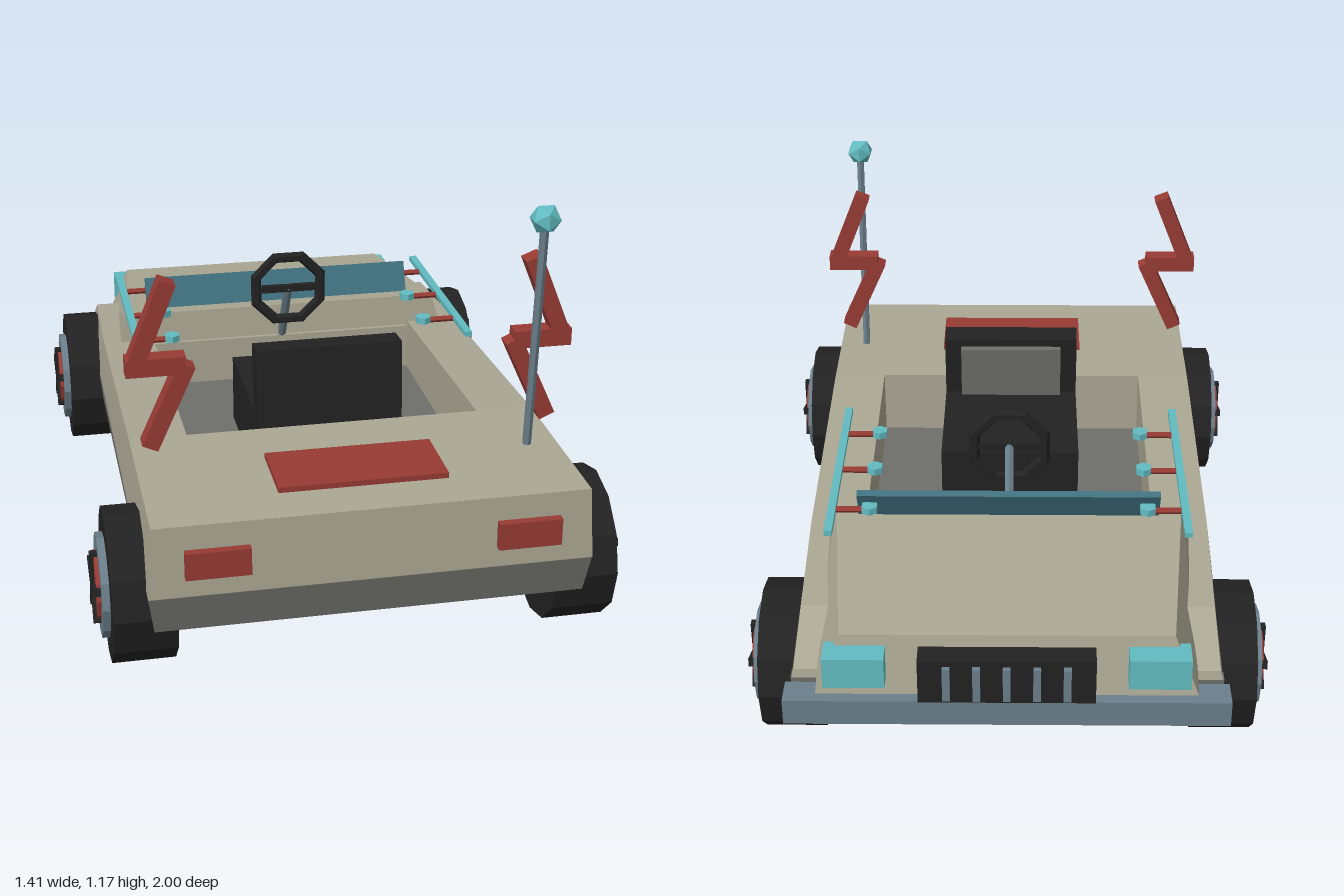
import * as THREE from 'three';
import { ConvexGeometry } from 'three/addons/geometries/ConvexGeometry.js';

const paint = (name, color) => {
  const m = new THREE.MeshStandardMaterial({ color });
  m.name = name;
  return m;
};

export function createModel() {
  const tan = paint('tanBodywork', 0xaba794);
  const grey = paint('greyTrim', 0x6e6e6a);
  const black = paint('blackRubber', 0x222222);
  const steel = paint('blueGreySteel', 0x6b7f8a);
  const red = paint('brickRed', 0x983b34);
  const teal = paint('lightTeal', 0x62bcc1);
  const glass = paint('windshieldBlue', 0x41707f);

  const car = new THREE.Group();
  car.name = 'openBuggy';

  // faceted mesh with hard edges
  const add = (name, geo, mat, pos = [0, 0, 0], parent = car) => {
    const g = geo.index ? geo.toNonIndexed() : geo;
    g.computeVertexNormals();
    const mesh = new THREE.Mesh(g, mat);
    mesh.name = name;
    mesh.position.set(...pos);
    parent.add(mesh);
    return mesh;
  };
  // box from its lower and upper corners
  const box = (name, mat, x0, x1, y0, y1, z0, z1) =>
    add(name, new THREE.BoxGeometry(x1 - x0, y1 - y0, z1 - z0), mat,
      [(x0 + x1) / 2, (y0 + y1) / 2, (z0 + z1) / 2]);
  const hull = (name, mat, pts) =>
    add(name, new ConvexGeometry(pts.map(p => new THREE.Vector3(...p))), mat);
  // both mirrored copies of each point [x, y, z]
  const wide = pts => pts.flatMap(([x, y, z]) => [[x, y, z], [-x, y, z]]);
  // round bar between two points
  const rod = (name, mat, a, b, r, sides = 6) => {
    const from = new THREE.Vector3(...a), to = new THREE.Vector3(...b);
    const m = add(name, new THREE.CylinderGeometry(r, r, from.distanceTo(to), sides), mat);
    m.position.copy(from).lerp(to, 0.5);
    m.quaternion.setFromUnitVectors(new THREE.Vector3(0, 1, 0), to.sub(from).normalize());
    return m;
  };

  // lower body tub, its top is the cockpit floor
  hull('lowerBody', grey, wide([
    [0.565, 0.18, 0.96], [0.565, 0.18, -0.86], [0.58, 0.285, 0.978], [0.575, 0.285, -0.86]]));

  // body sides: [z, y, outer x]
  const profile = [[0.98, 0.285, 0.58], [0.975, 0.482, 0.568], [0.46, 0.482, 0.568],
    [-0.34, 0.44, 0.565], [-0.72, 0.42, 0.555], [-0.855, 0.31, 0.565], [-0.86, 0.285, 0.572]];
  for (const s of [1, -1]) {
    hull('bodySide', tan, profile.flatMap(([z, y, x]) => [[s * 0.41, y, z], [s * x, y, z]]));
  }
  hull('rearDeck', tan, wide([
    [0.41, 0.285, 0.98], [0.41, 0.482, 0.975], [0.41, 0.482, 0.46], [0.41, 0.285, 0.46]]));
  box('cowl', tan, -0.41, 0.41, 0.285, 0.425, -0.855, -0.33);
  hull('hood', tan, wide([
    [0.49, 0.525, -0.34], [0.515, 0.43, -0.33], [0.435, 0.465, -0.91],
    [0.5, 0.3, -0.945], [0.51, 0.3, -0.75]]));

  // front end
  box('frontBumper', steel, -0.585, 0.585, 0.22, 0.295, -0.97, -0.89);
  box('grille', black, -0.23, 0.23, 0.305, 0.435, -0.985, -0.92);
  for (let i = -2; i <= 2; i++) {
    box('grilleBar', steel, i * 0.078 - 0.01, i * 0.078 + 0.01, 0.32, 0.42, -1, -0.98);
  }

  // tail end
  box('deckHatch', red, -0.225, 0.225, 0.475, 0.497, 0.64, 0.845);

  // seat and its pad
  box('seatCushion', black, -0.205, 0.205, 0.29, 0.488, -0.035, 0.4);
  const back = new THREE.Group();
  back.name = 'seatBack';
  back.position.set(0, 0.57, 0.372);
  back.rotation.x = -0.08;
  car.add(back);
  add('backrest', new THREE.BoxGeometry(0.41, 0.23, 0.075), black, [0, 0, 0], back);
  add('backrestPad', new THREE.BoxGeometry(0.31, 0.17, 0.025), grey, [0, 0.005, -0.045], back);

  // steering
  const wheel = add('steeringWheel', new THREE.TorusGeometry(0.108, 0.017, 6, 8), black, [0, 0.625, -0.225]);
  wheel.rotation.z = Math.PI / 8;
  rod('steeringColumn', steel, [0, 0.63, -0.225], [0, 0.43, -0.34], 0.014);
  box('steeringSpoke', black, -0.1, 0.1, 0.615, 0.635, -0.235, -0.215);

  // windshield leaning over the hood
  const screen = add('windshield', new THREE.BoxGeometry(0.84, 0.1, 0.02), glass, [0, 0.558, -0.428]);
  screen.rotation.x = -0.42;

  for (const s of [1, -1]) {
    const span = (name, mat, a, b, ...rest) =>
      box(name, mat, Math.min(s * a, s * b), Math.max(s * a, s * b), ...rest);
    span('headlight', teal, 0.315, 0.475, 0.345, 0.435, -0.978, -0.9);
    span('tailLight', red, 0.32, 0.487, 0.342, 0.416, 0.97, 1);

    // side rail with knobbed pegs
    span('sideRail', teal, 0.478, 0.5, 0.553, 0.568, -0.585, 0.093);
    for (const z of [-0.46, -0.25, -0.047]) {
      rod('railPeg', red, [s * 0.39, 0.558, z], [s * 0.48, 0.558, z], 0.009);
      add('railKnob', new THREE.CylinderGeometry(0.024, 0.024, 0.02, 6), teal, [s * 0.385, 0.562, z]);
    }

    // zigzag fin above the rear corner
    const bar = (x0, y0, x1, y1) => {
      const m = add('zigzagBar', new THREE.BoxGeometry(0.045, Math.hypot(x1 - x0, y1 - y0), 0.05), red,
        [s * (x0 + x1) / 2, (y0 + y1) / 2, 0.673]);
      m.rotation.z = -s * Math.atan2(x1 - x0, y1 - y0);
    };
    bar(0.568, 0.79, 0.477, 1.017);
    bar(0.534, 0.565, 0.432, 0.79);
    span('zigzagMiddle', red, 0.435, 0.59, 0.767, 0.815, 0.648, 0.698);

    // wheels: tyre, rim, hub and five spokes, axis along x
    for (const z of [0.743, -0.642]) {
      const w = new THREE.Group();
      w.name = 'wheel';
      w.position.set(0, 0.207, z);
      car.add(w);
      const disc = (name, mat, r, x0, x1) => {
        const g = new THREE.CylinderGeometry(r, r, x1 - x0, 12).rotateZ(Math.PI / 2);
        add(name, g, mat, [s * (x0 + x1) / 2, 0, 0], w);
      };
      disc('tyre', black, 0.205, 0.5, 0.667);
      disc('rim', steel, 0.138, 0.6, 0.687);
      disc('hub', red, 0.092, 0.65, 0.697);
      for (let i = 0; i < 5; i++) {
        const a = i * Math.PI * 2 / 5;
        const spoke = new THREE.BoxGeometry(0.02, 0.098, 0.022).translate(0, 0.049, 0).rotateX(a);
        add('spoke', spoke, black, [s * 0.697, 0, 0], w);
      }
    }
  }

  // antenna on the left rear corner
  rod('antennaPole', steel, [0.485, 0.46, 0.685], [0.485, 1.12, 0.741], 0.012);
  add('antennaTip', new THREE.IcosahedronGeometry(0.042, 0), teal, [0.485, 1.14, 0.743]);

  return car;
}
